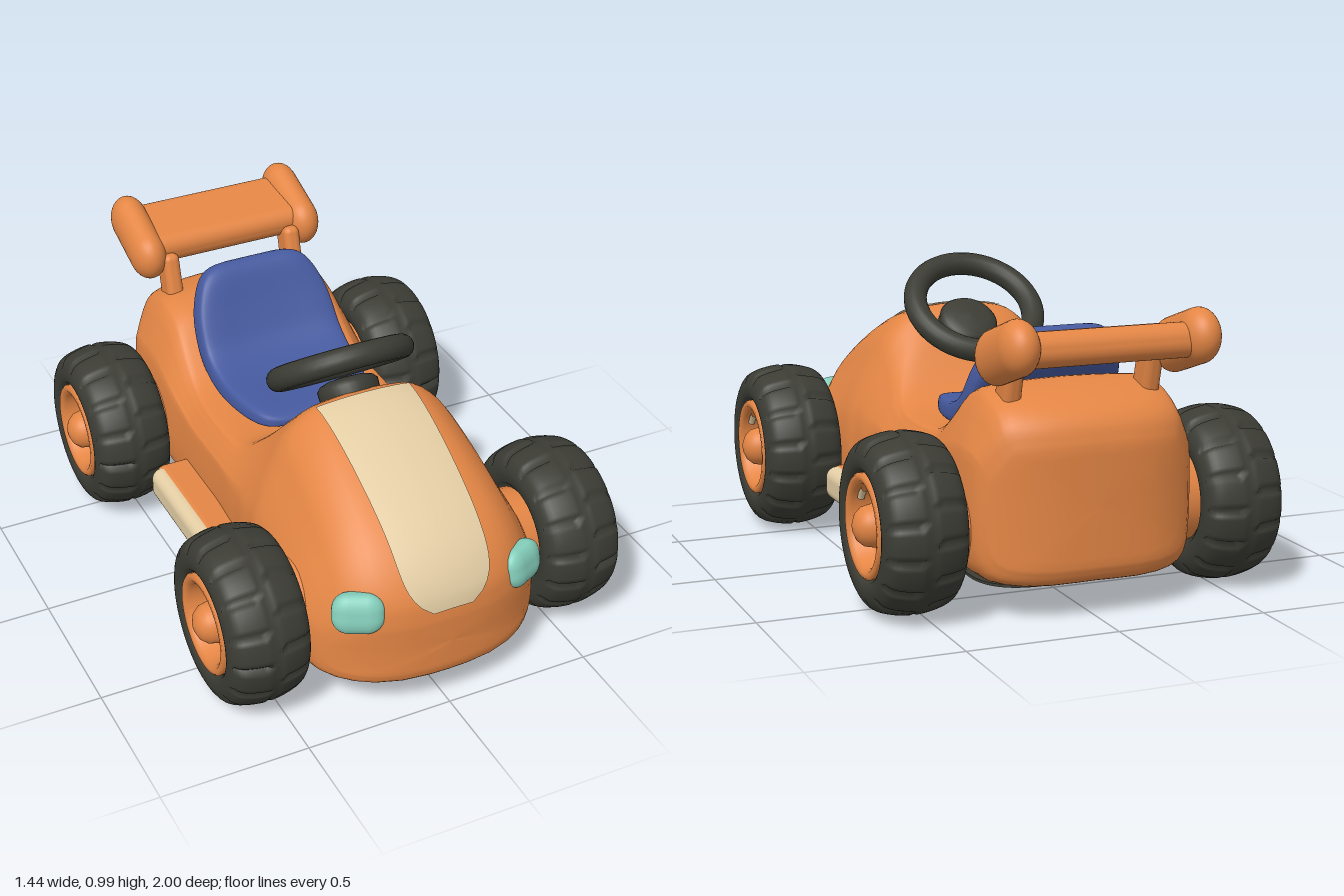
import * as THREE from 'three';
import { RoundedBoxGeometry } from 'three/addons/geometries/RoundedBoxGeometry.js';

const mat = (name, color) => Object.assign(new THREE.MeshStandardMaterial({ color }), { name });
const V2 = (x, y) => new THREE.Vector2(x, y);
const V3 = (x, y, z) => new THREE.Vector3(x, y, z);
const lerp = THREE.MathUtils.lerp;
const clamp = THREE.MathUtils.clamp;

// Smooth skin over closed rings, all with the same number of points
function loft(rings) {
  const n = rings[0].length, idx = [];
  for (let i = 0; i < rings.length - 1; i++) for (let j = 0; j < n; j++) {
    const a = i * n + j, b = i * n + (j + 1) % n, c = a + n, d = b + n;
    idx.push(a, c, b, b, c, d);
  }
  const g = new THREE.BufferGeometry().setFromPoints(rings.flat());
  g.setIndex(idx);
  g.computeVertexNormals();
  return g;
}

// Body stations: z, half width, top half width, bottom, shoulder, top
const STATIONS = [
  [1.0, 0.37, 0.23, 0.16, 0.25, 0.35],
  [0.985, 0.4, 0.23, 0.125, 0.29, 0.43],
  [0.93, 0.415, 0.23, 0.105, 0.33, 0.52],
  [0.84, 0.42, 0.22, 0.1, 0.36, 0.605],
  [0.7, 0.415, 0.21, 0.1, 0.38, 0.69],
  [0.55, 0.41, 0.2, 0.1, 0.4, 0.76],
  [0.42, 0.41, 0.19, 0.1, 0.41, 0.803],
  [0.34, 0.4, 0.19, 0.1, 0.41, 0.803],
  [0.26, 0.395, 0.2, 0.1, 0.4, 0.725],
  [0.19, 0.385, 0.24, 0.1, 0.4, 0.63],
  [0.1, 0.38, 0.28, 0.1, 0.4, 0.54],
  [0.0, 0.375, 0.3, 0.1, 0.4, 0.51],
  [-0.2, 0.375, 0.3, 0.1, 0.4, 0.51],
  [-0.31, 0.375, 0.29, 0.1, 0.42, 0.535],
  [-0.4, 0.38, 0.28, 0.1, 0.45, 0.6],
  [-0.5, 0.38, 0.27, 0.1, 0.48, 0.69],
  [-0.6, 0.38, 0.27, 0.1, 0.49, 0.72],
  [-0.7, 0.38, 0.27, 0.1, 0.49, 0.705],
  [-0.79, 0.375, 0.27, 0.105, 0.49, 0.67],
  [-0.845, 0.365, 0.27, 0.125, 0.47, 0.62],
  [-0.868, 0.34, 0.25, 0.17, 0.42, 0.55],
];

function bodyRing([z, w, wt, b, ys, top], s = 1) {
  const at = (fx, fy) => V2(lerp(w, wt, fx), lerp(ys, top, fy));
  const half = new THREE.SplineCurve([
    V2(0, b), V2(w * 0.6, b), V2(w * 0.92, b + (ys - b) * 0.1), V2(w, b + (ys - b) * 0.45), V2(w * 0.99, ys),
    at(0.17, 0.27), at(0.4, 0.53), at(0.62, 0.75), at(1, 0.93), V2(wt * 0.5, lerp(ys, top, 0.985)), V2(0, top),
  ]).getPoints(30);
  const all = [...half, ...half.slice(1, -1).reverse().map(p => V2(-p.x, p.y))];
  const cy = (b + top) / 2;
  // The nose and tail are bowed in plan
  const nose = clamp((z - 0.3) / 0.7, 0, 1), tail = clamp((-z - 0.6) / 0.27, 0, 1);
  const bow = x => nose * (0.5 * x ** 2 + 4 * x ** 4) - tail * (0.2 * x ** 2 + 5 * x ** 4);
  return all.map(p => V3(p.x * s, lerp(cy, p.y, s), z - bow(p.x * s)));
}

function bodyGeometry() {
  const a = new THREE.CatmullRomCurve3(STATIONS.map(s => V3(s[0], s[1], s[2])), false, 'catmullrom');
  const b = new THREE.CatmullRomCurve3(STATIONS.map(s => V3(s[3], s[4], s[5])), false, 'catmullrom');
  const rings = [0, 0.3, 0.6, 0.85].map(s => bodyRing(STATIONS[0], s));
  for (let i = 0; i <= 80; i++) rings.push(bodyRing([...a.getPoint(i / 80), ...b.getPoint(i / 80)]));
  for (const s of [0.85, 0.6, 0.3, 0]) rings.push(bodyRing(STATIONS.at(-1), s));
  return loft(rings);
}

// Bonnet stripe laid onto the body surface
function stripeGeometry(body) {
  const rows = 32, cols = 12;
  const g = new THREE.PlaneGeometry(1, 1, cols, rows), p = g.attributes.position;
  const n = V3(0, 0.815, 0.58), ray = new THREE.Raycaster();
  for (let i = 0; i <= rows; i++) for (let j = 0; j <= cols; j++) {
    const v = i / rows, round = clamp((v - 0.7) / 0.3, 0, 1);
    const w = 0.168 * (1 - 0.08 * v) * Math.sqrt(1 - 0.8 * round ** 4);
    const start = V3((j / cols * 2 - 1) * w, lerp(0.81, 0.37, v), lerp(0.37, 0.99, v)).addScaledVector(n, 1);
    ray.set(start, n.clone().negate());
    const hit = ray.intersectObject(body)[0];
    const q = (hit ? hit.point : start.addScaledVector(n, -1)).addScaledVector(n, 0.006);
    p.setXYZ(i * (cols + 1) + j, q.x, q.y, q.z);
  }
  g.computeVertexNormals();
  return g;
}

// Bucket seat: a pad with raised edges swept along its side profile
function seatGeometry() {
  const path = new THREE.CatmullRomCurve3([
    V3(0, 0.535, 0.055), V3(0, 0.532, -0.1), V3(0, 0.542, -0.24), V3(0, 0.59, -0.35),
    V3(0, 0.69, -0.43), V3(0, 0.78, -0.483), V3(0, 0.86, -0.52),
  ]);
  const width = new THREE.SplineCurve([V2(0, 0.21), V2(0.25, 0.245), V2(0.5, 0.26), V2(0.75, 0.252), V2(1, 0.205)]);
  const rings = [];
  for (let i = 0; i <= 40; i++) {
    const t = (1 - Math.cos(Math.PI * i / 40)) / 2;
    const c = path.getPointAt(t), d = path.getTangentAt(t), nrm = V3(0, -d.z, d.y);
    const end = Math.pow(Math.max(0, 1 - Math.abs(2 * t - 1) ** 10), 0.4);
    const w = width.getPoint(t).y * Math.pow(end, 0.5), h = lerp(0.028, 0.054, t) * end;
    rings.push(Array.from({ length: 40 }, (_, j) => {
      const u = j / 40 * Math.PI * 2, cu = Math.cos(u), su = Math.sin(u);
      const x = w * Math.sign(cu) * Math.abs(cu) ** 0.5;
      const rim = su > 0 ? 0.024 * (x / 0.26) ** 2 * Math.min(1, su * 3) * end : 0;
      return V3(x, c.y, c.z).addScaledVector(nrm, h * Math.sign(su) * Math.abs(su) ** 0.6 + rim);
    }));
  }
  return loft(rings);
}

// Tyre with staggered grooves on its shoulders
function tyreGeometry() {
  const profile = new THREE.SplineCurve([
    V2(0, -0.105), V2(0.14, -0.11), V2(0.175, -0.13), V2(0.22, -0.136), V2(0.262, -0.113), V2(0.282, -0.06),
    V2(0.289, 0), V2(0.282, 0.06), V2(0.262, 0.113), V2(0.22, 0.136), V2(0.178, 0.13), V2(0.16, 0.09),
  ]).getPoints(44);
  const g = new THREE.LatheGeometry(profile, 120), p = g.attributes.position, n = profile.length;
  for (let k = 0; k < p.count; k++) {
    const seg = Math.floor(k / n), y = p.getY(k), r = Math.hypot(p.getX(k), p.getZ(k));
    const groove = seg % 8 === (y > 0 ? 0 : 4) && Math.abs(y) > 0.03;
    if (r > 0.235 && (groove || Math.abs(y) < 0.003)) {
      const f = (r - (groove ? 0.016 : 0.006)) / r;
      p.setXYZ(k, p.getX(k) * f, y, p.getZ(k) * f);
    }
  }
  g.computeVertexNormals();
  return g;
}

export function createModel() {
  const orange = mat('orange', 0xe48645), cream = mat('cream', 0xe3cda4), blue = mat('blue', 0x465a9f);
  const dark = mat('dark rubber', 0x3c3c35), teal = mat('teal', 0x85cebb);
  cream.side = THREE.DoubleSide;
  const model = new THREE.Group();
  model.name = 'kart';
  const add = (name, geo, material, x = 0, y = 0, z = 0, parent = model) => {
    const m = new THREE.Mesh(geo, material);
    m.name = name;
    m.position.set(x, y, z);
    parent.add(m);
    return m;
  };

  const body = add('body', bodyGeometry(), orange);
  body.updateMatrixWorld();
  add('bonnetStripe', stripeGeometry(body), cream);
  add('seat', seatGeometry(), blue);

  // Underside plate with rounded corners
  const plate = new THREE.Shape(), c = 0.18, w = 0.33, z0 = -0.77, z1 = 0.78;
  plate.moveTo(-w + c, z0).lineTo(w - c, z0).quadraticCurveTo(w, z0, w, z0 + c)
    .lineTo(w, z1 - c).quadraticCurveTo(w, z1, w - c, z1).lineTo(-w + c, z1)
    .quadraticCurveTo(-w, z1, -w, z1 - c).lineTo(-w, z0 + c).quadraticCurveTo(-w, z0, -w + c, z0);
  add('floorPlate', new THREE.ExtrudeGeometry(plate, { depth: 0.009, bevelEnabled: false }), dark, 0, 0.1055, 0)
    .rotation.x = Math.PI / 2;

  // Steering wheel and column, tilted towards the seat
  const tilt = -Math.atan2(0.61, 0.79);
  add('steeringWheel', new THREE.TorusGeometry(0.21, 0.04, 16, 48).rotateX(Math.PI / 2), dark, 0, 0.822, 0.195).rotation.x = tilt;
  const column = [V2(0, -0.08), V2(0.1, -0.08), V2(0.103, 0.02), V2(0.09, 0.035), V2(0.06, 0.045), V2(0, 0.05)];
  add('steeringColumn', new THREE.LatheGeometry(column, 32), dark, 0, 0.752, 0.262).rotation.x = tilt;

  // Wheels
  const tyre = tyreGeometry();
  const rim = new THREE.LatheGeometry([
    V2(0.166, 0.09), V2(0.168, 0.128), V2(0.16, 0.136), V2(0.145, 0.135), V2(0.132, 0.122), V2(0.12, 0.075), V2(0.1, 0.062),
    V2(0.075, 0.068), V2(0.068, 0.1), V2(0.062, 0.128), V2(0.045, 0.148), V2(0.022, 0.159), V2(0, 0.162),
  ], 48);
  const axle = new THREE.CylinderGeometry(0.15, 0.17, 0.2, 32);
  const accent = new THREE.TorusGeometry(0.124, 0.012, 8, 10, 0.45).rotateZ(-0.225).rotateX(Math.PI / 2);
  for (const side of [1, -1]) {
    const tag = side > 0 ? 'left' : 'right';
    for (const [end, x, z] of [['Front', 0.56, 0.63], ['Rear', 0.54, -0.56]]) {
      const wheel = new THREE.Group();
      wheel.name = tag + end + 'Wheel';
      wheel.position.set(side * x, 0.288, z);
      wheel.rotation.z = -side * Math.PI / 2;
      add('tyre', tyre, dark, 0, 0, 0, wheel);
      add('rim', rim, orange, 0, 0, 0, wheel);
      add('axle', axle, orange, 0, -0.2, 0, wheel);
      // Small cream accents in the rim, low behind and high in front of the hub
      for (const turn of [0, Math.PI])
        add('rimAccent', accent, cream, 0, 0.1, 0, wheel).rotation.y = turn + Math.PI / 2 - side * Math.PI / 4;
      model.add(wheel);
    }

    // Side pods with cream strips
    add(tag + 'SidePod', new RoundedBoxGeometry(0.16, 0.132, 0.63, 6, 0.04), orange, side * 0.415, 0.204, 0.035);
    add(tag + 'PodStrip', new RoundedBoxGeometry(0.08, 0.116, 0.61, 6, 0.038), cream, side * 0.473, 0.209, 0.037);

    // Headlights
    const light = add(tag + 'Headlight', new RoundedBoxGeometry(0.165, 0.135, 0.13, 6, 0.055), teal, side * 0.289, 0.4, 0.91);
    light.scale.z = 0.6;
    light.rotation.set(-0.2, side * 0.45, 0, 'YXZ');

    // Spoiler end caps and struts
    const cap = add(tag + 'SpoilerEnd', new THREE.CapsuleGeometry(0.088, 0.175, 12, 28).rotateX(Math.PI / 2), orange, side * 0.299, 0.853, -0.828);
    cap.scale.x = 0.72;
    cap.rotation.x = 0.32;
    add(tag + 'SpoilerStrut', new RoundedBoxGeometry(0.06, 0.22, 0.1, 4, 0.024), orange, side * 0.235, 0.725, -0.69).rotation.x = -0.25;
  }
  add('spoilerWing', new RoundedBoxGeometry(0.6, 0.11, 0.265, 6, 0.05), orange, 0, 0.855, -0.828).rotation.x = 0.18;

  return model;
}
